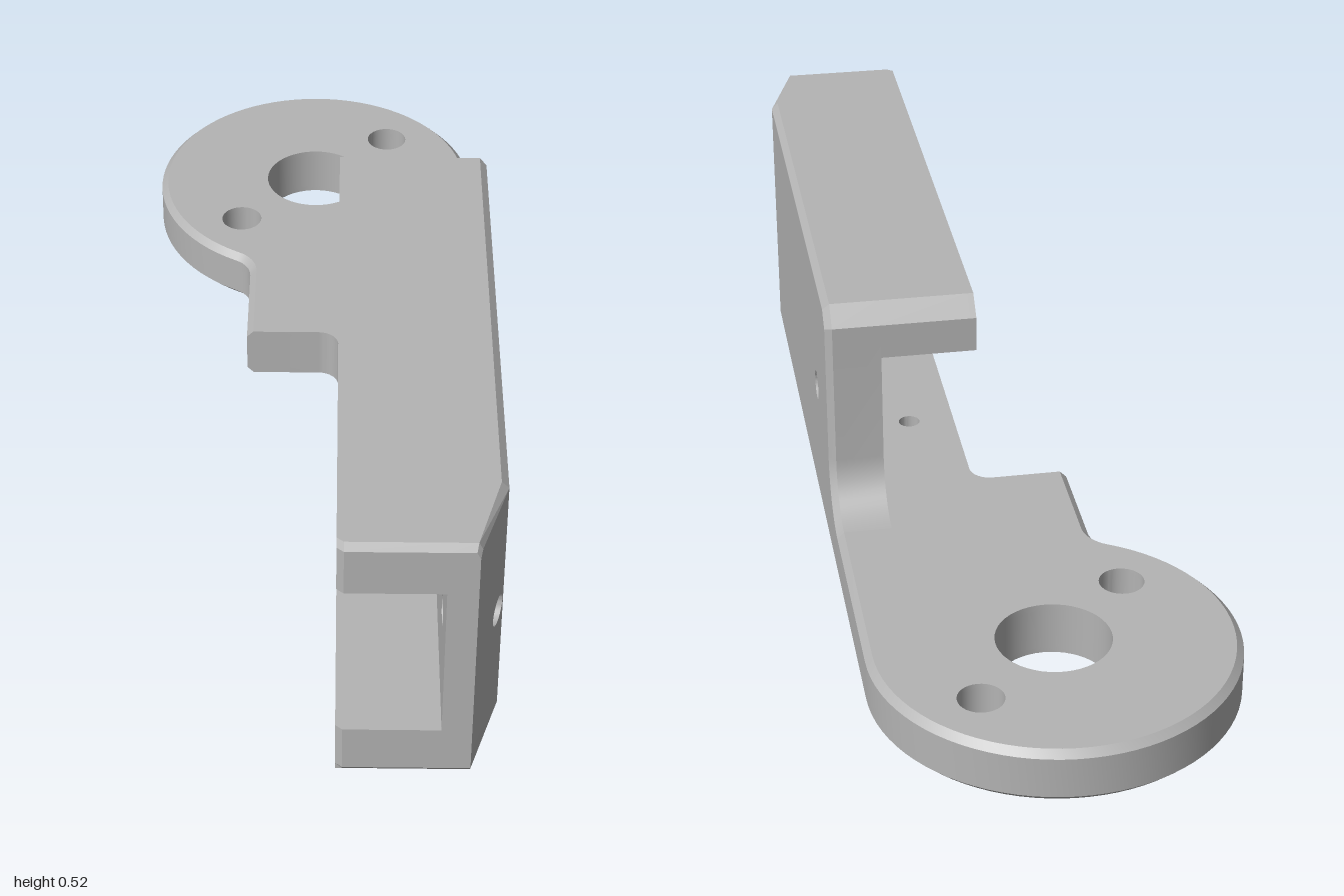
import * as THREE from 'three';
import { toCreasedNormals } from 'three/addons/utils/BufferGeometryUtils.js';

const C = 0.013;                       // edge chamfer
const R = 0.337, DISC_Z = -0.663;      // mounting disc
const NOSE_Z = 0.84;                   // where the slanted front begins

// Points along an arc, angles in radians
function arc(cx, cy, r, a0, a1, n) {
  return Array.from({ length: n + 1 }, (_, k) => {
    const a = a0 + (a1 - a0) * k / n;
    return [cx + r * Math.cos(a), cy + r * Math.sin(a)];
  });
}
const hole = (u, v, r, n = 32) => arc(u, v, r, 0, Math.PI * 2 * (1 - 1 / n), n - 1);

// Solid through stacked outlines [{ h, pts }], with straight holes; place() maps (u, v, h) to x, y, z
function solid(layers, holes, place) {
  const pos = [];
  const orient = (pts, ccw) => {
    const v = pts.map(p => new THREE.Vector2(p[0], p[1]));
    return THREE.ShapeUtils.isClockWise(v) === ccw ? v.reverse() : v;
  };
  const rings = layers.map(l => [orient(l.pts, true), ...holes.map(q => orient(q, false))]);
  const tri = (...corners) => corners.forEach(([p, h]) => pos.push(...place(p.x, p.y, h)));

  // side walls and hole walls
  for (let l = 0; l < layers.length - 1; l++) {
    const h0 = layers[l].h, h1 = layers[l + 1].h;
    rings[l].forEach((a, r) => {
      const b = rings[l + 1][r];
      a.forEach((p, i) => {
        const j = (i + 1) % a.length;
        tri([p, h0], [b[j], h1], [a[j], h0]);
        tri([p, h0], [b[i], h1], [b[j], h1]);
      });
    });
  }
  // end caps
  for (const end of [0, layers.length - 1]) {
    const h = layers[end].h, all = rings[end].flat();
    for (const [a, b, c] of THREE.ShapeUtils.triangulateShape(rings[end][0], rings[end].slice(1))) {
      if (end === 0) tri([all[a], h], [all[b], h], [all[c], h]);
      else tri([all[a], h], [all[c], h], [all[b], h]);
    }
  }
  const g = new THREE.BufferGeometry();
  g.setAttribute('position', new THREE.Float32BufferAttribute(pos, 3));
  return toCreasedNormals(g, 0.25);
}

// Plan outline of the base: inset on the outer rim, front on the front edge
function baseOutline(inset, front) {
  const f = 0.06, fx = -0.133 - f;                       // fillet between disc and tab
  const dz = Math.sqrt((R + f) ** 2 - fx ** 2);
  const join = Math.atan2(dz, fx);
  return [
    [0.053, 0.99], [0.065, 1 - front], [0.285, 1 - front],
    [R - inset, NOSE_Z],
    ...arc(0, DISC_Z, R - inset, 0, join - Math.PI * 2, 56),
    ...arc(fx, DISC_Z + dz, f + inset, join - Math.PI, 0, 8).slice(1),
    [-0.133 + inset, -0.105],
    ...arc(0.013, -0.065, 0.04, -Math.PI / 2, 0, 8),
  ];
}

// Side outline (z, y) of the upright wall with its rear fillet
function wallOutline(i) {
  return [
    [NOSE_Z, 0.05], [NOSE_Z, 0.52 - i],
    [-0.12 + i * 0.4, 0.52 - i], [-0.155 + i, 0.485 - i * 0.4],
    ...arc(-0.255, 0.204, 0.1 + i, 0, -Math.PI / 2, 10),
    [-0.255, 0.05],
  ];
}

export function createModel() {
  const group = new THREE.Group();
  group.name = 'bracket';
  const metal = new THREE.MeshStandardMaterial({ color: 0xb4b4b4 });
  metal.name = 'grey metal';
  const add = (name, geometry) => {
    const mesh = new THREE.Mesh(geometry, metal);
    mesh.name = name;
    group.add(mesh);
  };
  const flat = (u, v, h) => [u, h, v];
  const side = (u, v, h) => [h, v, u];

  // Base plate: disc, tab and lower flange
  add('basePlate', solid([
    { h: 0, pts: baseOutline(C, 0.01) },
    { h: C, pts: baseOutline(0, 0) },
    { h: 0.104 - C, pts: baseOutline(0, 0) },
    { h: 0.104, pts: baseOutline(C, 0) },
  ], [
    hole(0, DISC_Z, 0.105, 48),
    hole(0.157, DISC_Z - 0.157, 0.042), hole(-0.157, DISC_Z + 0.157, 0.042),
    hole(0.143, 0.14, 0.021), hole(0.143, 0.613, 0.021),
  ], flat));

  // Upright wall
  add('wall', solid([
    { h: 0.233, pts: wallOutline(0) },
    { h: R - C, pts: wallOutline(0) },
    { h: R, pts: wallOutline(C) },
  ], [hole(0.04, 0.262, 0.028)], side));

  // Slanted front end of the wall, thinning to half its thickness
  const nose = i => [[NOSE_Z, 0.05], [1, 0.05], [1, 0.507 - i], [0.99, 0.52 - i], [NOSE_Z, 0.52 - i]];
  add('wallFrontEnd', solid([
    { h: 0.233, pts: nose(0) },
    { h: R - C, pts: nose(0) },
    { h: R, pts: nose(C) },
  ], [hole(0.872, 0.262, 0.028)],
  (u, v, h) => [0.233 + (h - 0.233) * (1 - (u - NOSE_Z) * 3.125), v, u]));

  // Upper flange
  const flange = z => [[z, 0.417], [z, 0.507], [z - 0.01, 0.52], [-0.12, 0.52], [-0.155, 0.485], [-0.155, 0.417]];
  add('upperFlange', solid([
    { h: 0.053, pts: flange(0.99) },
    { h: 0.065, pts: flange(1) },
    { h: 0.24, pts: flange(1) },
  ], [], side));

  return group;
}
